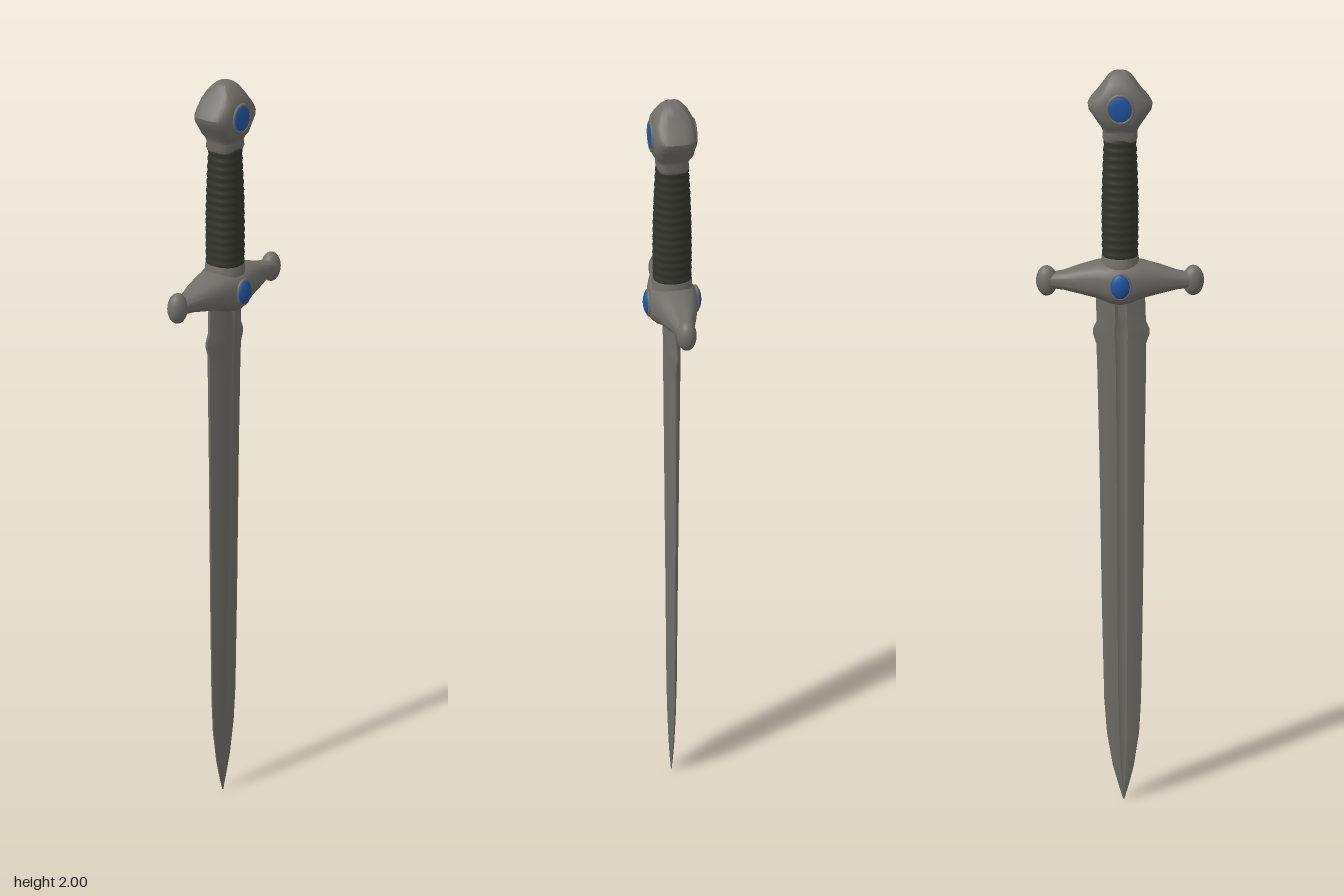
import * as THREE from 'three';
import { toCreasedNormals } from 'three/addons/utils/BufferGeometryUtils.js';

// Skin a list of equal-length closed rings of [x, y, z], with capped ends
function loft(rings, crease = 0) {
  const n = rings[0].length, pos = rings.flat(2), idx = [];
  for (let i = 0; i < rings.length - 1; i++) {
    for (let j = 0; j < n; j++) {
      const a = i * n + j, b = i * n + (j + 1) % n;
      idx.push(a, b, b + n, a, b + n, a + n);
    }
  }
  const last = (rings.length - 1) * n;
  for (let j = 1; j < n - 1; j++) idx.push(0, j + 1, j, last, last + j, last + j + 1);

  // Turn the faces outward whichever way the rings run
  const v = i => new THREE.Vector3().fromArray(pos, idx[i] * 3);
  let volume = 0;
  for (let i = 0; i < idx.length; i += 3) volume += v(i).dot(v(i + 1).cross(v(i + 2)));
  if (volume < 0) idx.reverse();

  const g = new THREE.BufferGeometry();
  g.setAttribute('position', new THREE.Float32BufferAttribute(pos, 3));
  g.setIndex(idx);
  g.computeVertexNormals();
  return crease ? toCreasedNormals(g, crease) : g;
}

// Points of a superellipse; power 2 is round, higher is boxier
function oval(a, b, power, n) {
  return Array.from({ length: n }, (_, i) => {
    const t = i / n * Math.PI * 2, c = Math.cos(t), s = Math.sin(t);
    return [a * Math.sign(c) * Math.abs(c) ** (2 / power), b * Math.sign(s) * Math.abs(s) ** (2 / power)];
  });
}

export function createModel() {
  const model = new THREE.Group();
  const steel = new THREE.MeshStandardMaterial({ color: 0x716e68 });
  const leather = new THREE.MeshStandardMaterial({ color: 0x34352b });
  const blue = new THREE.MeshStandardMaterial({ color: 0x1f559f });

  const add = (name, geometry, material, parent = model) => {
    const mesh = new THREE.Mesh(geometry, material);
    mesh.name = name;
    parent.add(mesh);
    return mesh;
  };

  // Blade: [y, half width, half thickness, z offset], with small spurs below the guard
  const bladeStations = [
    [0, 0.002, 0.001, 0.01], [0.04, 0.013, 0.004, 0.01], [0.1, 0.028, 0.007, 0.009],
    [0.2, 0.043, 0.01, 0.008], [0.3, 0.049, 0.012, 0.007], [0.6, 0.054, 0.014, 0.006],
    [1.0, 0.058, 0.017, 0.005], [1.25, 0.062, 0.019, 0.004], [1.3, 0.063, 0.019, 0.003],
    [1.325, 0.071, 0.019, 0.003], [1.34, 0.071, 0.019, 0.003], [1.36, 0.062, 0.02, 0.003],
    [1.4, 0.062, 0.021, 0.002], [1.46, 0.06, 0.021, 0],
  ];
  const bladeSection = [[0, 1], [0.45, 0.85], [0.85, 0.22], [0.95, 0.15], [0.45, -0.85].map(() => 0)];
  bladeSection.length = 3;
  const side = [[-0.98, 0.18], [-0.68, 0.6], [-0.24, 1], [-0.12, 0.8], [0.12, 0.8], [0.24, 1], [0.68, 0.6], [0.98, 0.18]];
  const outline = [[-1, 0], ...side, [1, 0], ...side.map(([w, t]) => [w, -t]).reverse()];
  add('blade', loft(bladeStations.map(([y, w, t, dz]) =>
    outline.map(([u, k]) => [k * t, y, u * w + dz])), 0.5), steel);

  // Crossguard: [z, bottom, top, half thickness]
  const half = [[0, 1.408, 1.522, 0.066], [0.025, 1.412, 1.522, 0.061], [0.055, 1.425, 1.518, 0.053],
    [0.1, 1.436, 1.506, 0.041], [0.14, 1.445, 1.493, 0.028], [0.18, 1.45, 1.486, 0.021]];
  const guardStations = [...half.slice(1).reverse().map(([z, ...r]) => [-z, ...r]), ...half];
  add('crossguard', loft(guardStations.map(([z, lo, hi, w]) =>
    oval(w, (hi - lo) / 2, 2.6, 28).map(([x, y]) => [x, y + (lo + hi) / 2, z])), 0.7), steel);
  for (const s of [-1, 1]) {
    const knob = add(s > 0 ? 'frontGuardKnob' : 'backGuardKnob', new THREE.SphereGeometry(1, 24, 16), steel);
    knob.scale.set(0.024, 0.039, 0.027);
    knob.position.set(0, 1.467, s * 0.183);
  }

  // Grip: slightly swelling, ridged by the leather wrap
  const wraps = 15, gripRings = [];
  for (let i = 0; i <= wraps * 4; i++) {
    const t = i / (wraps * 4), ridge = 0.0022 * Math.abs(Math.sin(t * wraps * Math.PI));
    const swell = 0.003 * Math.sin(t * Math.PI);
    gripRings.push(oval(0.046 - 0.008 * t + swell + ridge, 0.043 - 0.005 * t + swell + ridge, 2.2, 28)
      .map(([x, z]) => [x, 1.53 + 0.305 * t, z]));
  }
  add('grip', loft(gripRings), leather);

  // Steel collar between guard and grip
  add('gripCollar', loft([[1.5, 0.05], [1.53, 0.049], [1.54, 0.045]].map(([y, r]) =>
    oval(r, r * 0.95, 2.2, 28).map(([x, z]) => [x, y, z])), 0.6), steel);

  // Pommel: [y, half x, half z], a boxy block with a diamond side outline
  const pommelStations = [[1.828, 0.036, 0.04], [1.836, 0.039, 0.043], [1.852, 0.037, 0.042], [1.862, 0.042, 0.046],
    [1.87, 0.049, 0.051], [1.89, 0.052, 0.064], [1.908, 0.053, 0.077], [1.92, 0.053, 0.079], [1.935, 0.052, 0.07],
    [1.955, 0.05, 0.052], [1.972, 0.041, 0.04], [1.988, 0.028, 0.029], [1.997, 0.018, 0.018], [2, 0.008, 0.008]];
  add('pommel', loft(pommelStations.map(([y, a, b]) =>
    oval(a, b, 3.4, 32).map(([x, z]) => [x, y, z])), 0.6), steel);

  // Set gems with steel bezels on both flat sides
  const addGem = (name, s, x, y, rz, ry, depth) => {
    const setting = new THREE.Group();
    setting.name = name;
    setting.position.set(s * x, y, 0);
    model.add(setting);
    add('gem', new THREE.SphereGeometry(1, 24, 16), blue, setting).scale.set(depth, ry, rz);
    const bezel = add('bezel', new THREE.TorusGeometry(1, 0.13, 8, 32), steel, setting);
    bezel.rotation.y = Math.PI / 2;
    bezel.scale.set(rz, ry, 0.035);
  };
  for (const s of [-1, 1]) {
    const label = s > 0 ? 'left' : 'right';
    addGem(label + 'PommelGem', s, 0.051, 1.914, 0.031, 0.034, 0.007);
    addGem(label + 'GuardGem', s, 0.06, 1.468, 0.025, 0.032, 0.013);
  }
  return model;
}
